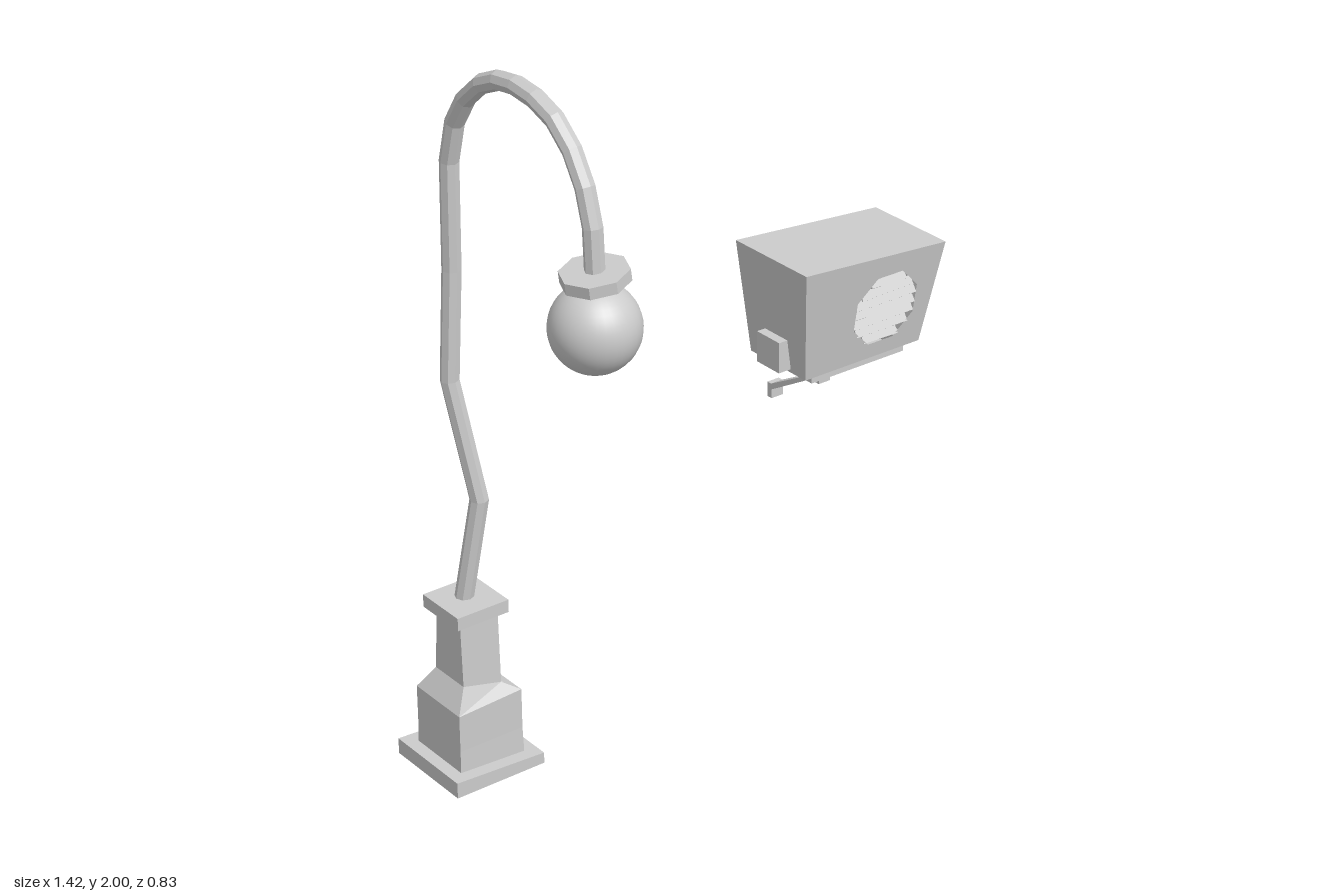
import * as THREE from 'three';

const mat = new THREE.MeshStandardMaterial({ color: 0xcccccc, flatShading: true, side: THREE.DoubleSide });
const smooth = new THREE.MeshStandardMaterial({ color: 0xcccccc });

function add(parent, name, geometry, material = mat) {
  const mesh = new THREE.Mesh(geometry, material);
  mesh.name = name;
  parent.add(mesh);
  return mesh;
}

// Joins four-sided rings [cx, cz, halfX, halfZ, y, tilt]; tilt lifts the -x side and drops the +x side
function loft(rings) {
  const pos = [], idx = [];
  for (const [cx, cz, hx, hz, y, tilt = 0] of rings) {
    for (const [sx, sz] of [[-1, 1], [1, 1], [1, -1], [-1, -1]]) {
      pos.push(cx + sx * hx, y - sx * tilt, cz + sz * hz);
    }
  }
  for (let r = 0; r < rings.length - 1; r++) {
    for (let i = 0; i < 4; i++) {
      const a = r * 4 + i, b = r * 4 + (i + 1) % 4;
      idx.push(a, b, b + 4, a, b + 4, a + 4);
    }
  }
  const g = new THREE.BufferGeometry();
  g.setAttribute('position', new THREE.Float32BufferAttribute(pos, 3));
  g.setIndex(idx);
  const flat = g.toNonIndexed();
  flat.computeVertexNormals();
  return flat;
}

// Flat panel with an optional hole, its 2D points placed in space by a rule
function panel(points, hole, place) {
  const shape = new THREE.Shape(points.map(p => new THREE.Vector2(...p)));
  if (hole) shape.holes.push(new THREE.Path(hole.map(p => new THREE.Vector2(...p))));
  const g = new THREE.ShapeGeometry(shape);
  const p = g.attributes.position;
  for (let i = 0; i < p.count; i++) p.setXYZ(i, ...place(p.getX(i), p.getY(i)));
  g.computeVertexNormals();
  return g;
}

// Polyline whose nodes coincide with the tube's rings, so bends are mitred
class Polyline extends THREE.Curve {
  constructor(points) { super(); this.points = points; }
  getPoint(t, target = new THREE.Vector3()) {
    const n = this.points.length - 1, s = t * n, i = Math.min(Math.floor(s), n - 1);
    return target.lerpVectors(this.points[i], this.points[i + 1], s - i);
  }
  getPointAt(t, target) { return this.getPoint(t, target); }
  getTangentAt(t, target) { return this.getTangent(t, target); }
}

function createLamp() {
  const lamp = new THREE.Group();
  lamp.name = 'streetLamp';
  const x = -0.575, z = -0.278;

  // Hollow stepped pedestal, listed from the inside out
  add(lamp, 'pedestal', loft([
    [x, z, 0, 0, 0.25], [x, z, 0.05, 0.05, 0.25], [x, z, 0.094, 0.094, 0.21], [x, z, 0.1, 0.1, 0],
    [x, z, 0.136, 0.136, 0], [x, z, 0.136, 0.136, 0.038, 0.007], [x, z, 0.097, 0.097, 0.038, 0.005],
    [x, z, 0.097, 0.097, 0.215, -0.005], [x, z, 0.058, 0.063, 0.255, 0.014], [x, z + 0.005, 0.058, 0.052, 0.45],
  ]));
  add(lamp, 'pedestalCap', new THREE.BoxGeometry(0.156, 0.036, 0.156)).position.set(x, 0.467, z);

  // Crooked pole bending over into a hook: [x, y, z]
  const path = [
    [-0.575, 0.47, -0.288], [-0.542, 0.77, -0.25], [-0.585, 1.1, -0.298], [-0.573, 1.4, -0.29],
    [x, 1.69, -0.28], [x, 1.8, -0.25], [x, 1.875, -0.2], [x, 1.935, -0.13], [x, 1.966, -0.06],
    [x, 1.975, 0.01], [x, 1.967, 0.085], [x, 1.94, 0.16], [x, 1.885, 0.225], [x, 1.81, 0.272],
    [x, 1.72, 0.299], [x, 1.6, 0.305],
  ].map(p => new THREE.Vector3(...p));
  add(lamp, 'pole', new THREE.TubeGeometry(new Polyline(path), path.length - 1, 0.025, 8));

  // Tilted collar and globe
  const collar = add(lamp, 'collar', new THREE.CylinderGeometry(0.085, 0.085, 0.03, 8));
  collar.position.set(x, 1.602, 0.305);
  collar.rotation.z = 0.13;
  add(lamp, 'globe', new THREE.SphereGeometry(0.112, 32, 24), smooth).position.set(-0.577, 1.472, 0.305);
  return lamp;
}

function createUnit() {
  const unit = new THREE.Group();
  unit.name = 'windowUnit';

  // Slanting wall planes as functions of height
  const bottom = 0.958;
  const frontZ = y => 0.032 + (y - bottom) * 0.172;
  const leftX = y => 0.665 + (y - bottom) * 0.135;
  const rightX = y => 0.282 - (y - bottom) * 0.147;
  const backZ = y => -0.19 - (y - bottom) * 0.015;
  const topL = 1.248, topR = 1.285;

  // Front wall with an octagonal opening
  const cx = 0.526, cy = 1.102, r = 0.108;
  const octagon = Array.from({ length: 8 }, (_, i) => {
    const a = (i + 0.5) * Math.PI / 4;
    return [cx + r * Math.cos(a), cy + r * Math.sin(a)];
  });
  add(unit, 'frontWall', panel(
    [[rightX(bottom), bottom], [leftX(bottom), bottom], [leftX(topL), topL], [rightX(topR), topR]],
    octagon, (x, y) => [x, y, frontZ(y)]));

  // Side walls in (z, y); the left one has a vent opening
  const side = top => [[frontZ(bottom), bottom], [backZ(bottom), bottom], [backZ(top), top], [frontZ(top), top]];
  add(unit, 'leftWall', panel(side(topL),
    [[-0.06, 1.125], [-0.163, 1.12], [-0.165, 1.235], [-0.058, 1.232]], (z, y) => [leftX(y), y, z]));
  add(unit, 'rightWall', panel(side(topR), null, (z, y) => [rightX(y), y, z]));

  // Sloping roof
  add(unit, 'roof', panel(
    [[rightX(topR), frontZ(topR)], [leftX(topL), frontZ(topL)], [leftX(topL), backZ(topL)], [rightX(topR), backZ(topR)]],
    null, (x, z) => [x, topR + (x - rightX(topR)) / (leftX(topL) - rightX(topR)) * (topL - topR), z]));

  // Floor opening into a shallow tray
  const tray = [[0.32, 0.012], [0.63, 0.012], [0.63, -0.17], [0.32, -0.17]];
  add(unit, 'floor', panel(
    [[rightX(bottom), frontZ(bottom)], [leftX(bottom), frontZ(bottom)], [leftX(bottom), -0.19], [rightX(bottom), -0.19]],
    tray, (x, z) => [x, bottom, z]));
  add(unit, 'tray', loft([
    [0.475, -0.079, 0, 0, 0.93], [0.475, -0.079, 0.155, 0.091, 0.93], [0.475, -0.079, 0.155, 0.091, 0.96],
  ]));

  // Front louvres, each as wide as the octagon at its height
  const flat = r * Math.cos(Math.PI / 8), half = r * Math.sin(Math.PI / 8);
  for (let i = 0; i < 7; i++) {
    const dy = (i - 3) * 0.028;
    const w = Math.min(flat, flat + half - Math.abs(dy));
    const slat = add(unit, 'frontLouvre', new THREE.BoxGeometry(2 * w, 0.024, 0.004));
    slat.position.set(cx, cy + dy, frontZ(cy + dy) - 0.008);
    slat.rotation.set(-0.6, 0, (i % 3 - 1) * 0.012);
  }

  // Side louvres
  for (let i = 0; i < 5; i++) {
    const y = 1.134 + i * 0.022;
    const slat = add(unit, 'sideLouvre', new THREE.BoxGeometry(0.004, 0.018, 0.106));
    slat.position.set(leftX(y) - 0.006, y, -0.112);
    slat.rotation.set((i % 2) * 0.03, 0, 0.6);
  }

  // Small box on the right wall
  add(unit, 'sideBox', new THREE.BoxGeometry(0.05, 0.086, 0.09)).position.set(0.266, 1.012, -0.07);

  // Support arms: profile in (z, y), extruded across x
  const profile = [[0.0, 0.932], [-0.032, 0.932], [-0.195, 0.842], [-0.21, 0.842], [-0.21, 0.8],
    [-0.192, 0.8], [-0.192, 0.826], [-0.035, 0.918], [0.0, 0.918]];
  for (const [x, y] of [[0.373, -0.005], [0.573, 0.008]]) {
    const g = new THREE.ExtrudeGeometry(new THREE.Shape(profile.map(p => new THREE.Vector2(...p))),
      { depth: 0.038, bevelEnabled: false });
    g.rotateY(-Math.PI / 2).translate(x + 0.019, y, 0);
    add(unit, 'supportArm', g);
  }
  return unit;
}

export function createModel() {
  const model = new THREE.Group();
  model.name = 'lampAndWindowUnit';
  model.add(createLamp(), createUnit());
  return model;
}
